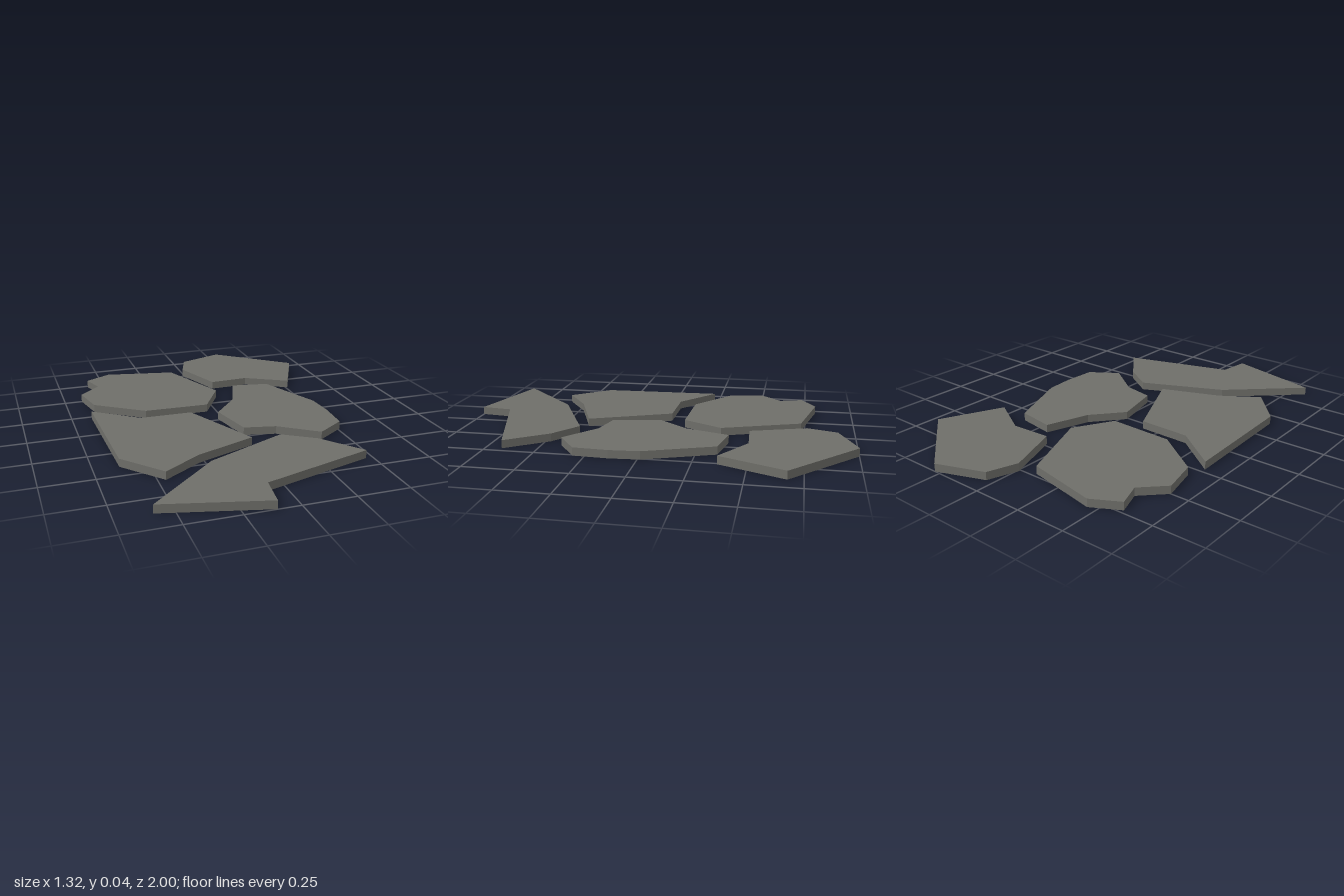
import * as THREE from 'three';

const THICKNESS = 0.04;

// Outline of each paving slab as [x, z] corners
const SLABS = {
  backRightSlab: [[0.04, -0.91], [0.28, -1], [0.655, -0.68], [0.51, -0.365], [0.295, -0.49], [0.09, -0.48], [-0.01, -0.76]],
  backLeftSlab: [[-0.59, -0.73], [-0.455, -0.805], [-0.09, -0.73], [0.065, -0.335], [-0.05, -0.135], [-0.38, -0.145],
    [-0.62, -0.317], [-0.66, -0.5], [-0.55, -0.61]],
  middleLeftSlab: [[-0.65, -0.225], [-0.425, -0.055], [-0.163, -0.05], [0.02, 0.362], [-0.277, 0.476], [-0.464, 0.6], [-0.63, 0.404]],
  middleRightSlab: [[0.18, -0.386], [0.373, -0.352], [0.51, -0.013], [0.52, 0.135], [0.51, 0.307], [0.366, 0.404],
    [0.183, 0.267], [0.025, 0.233], [-0.028, -0.01], [0.104, -0.166]],
  frontSlab: [[0.162, 0.37], [0.315, 0.473], [0.466, 0.669], [-0.086, 0.838], [-0.107, 1], [-0.588, 0.877], [-0.245, 0.557]],
};

// Extrude an outline upward from the ground
function slabGeometry(corners) {
  const shape = new THREE.Shape(corners.map(([x, z]) => new THREE.Vector2(x, -z)));
  return new THREE.ExtrudeGeometry(shape, { depth: THICKNESS, bevelEnabled: false }).rotateX(-Math.PI / 2);
}

export function createModel() {
  const stone = new THREE.MeshStandardMaterial({ color: 0x6e6e69 });
  stone.name = 'grey stone';

  const path = new THREE.Group();
  path.name = 'stonePath';
  for (const [name, corners] of Object.entries(SLABS)) {
    const slab = new THREE.Mesh(slabGeometry(corners), stone);
    slab.name = name;
    path.add(slab);
  }
  return path;
}
